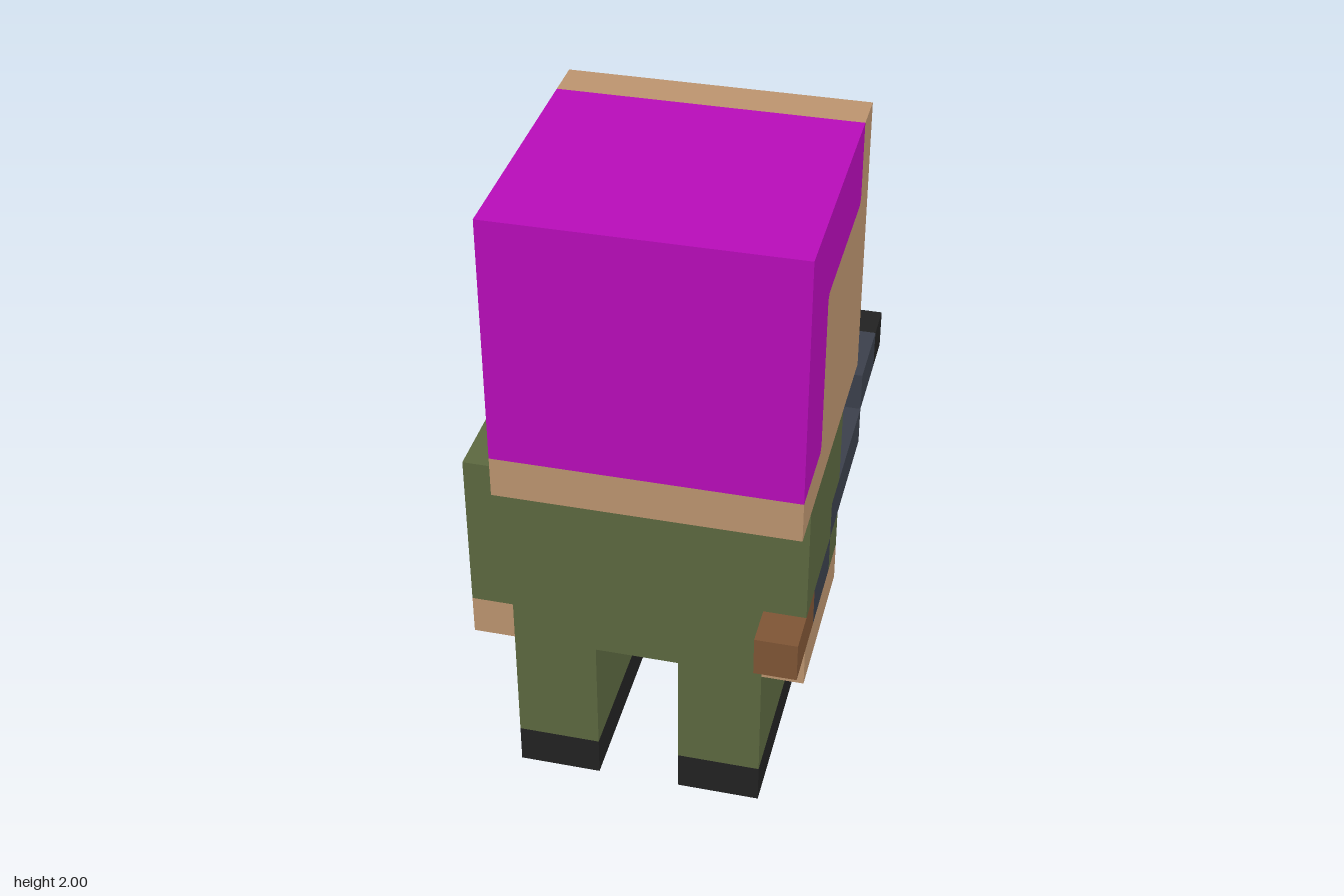
import * as THREE from 'three';

const U = 0.0625; // half a block; all sizes below are in these units

function material(name, color) {
  const m = new THREE.MeshStandardMaterial({ color });
  m.name = name;
  return m;
}

export function createModel() {
  const model = new THREE.Group();
  model.name = 'blockSoldier';

  const skin = material('skin', 0xbc946f);
  const hair = material('hair', 0xb80cb9);
  const cloth = material('greenCloth', 0x5c6840);
  const black = material('black', 0x222222);
  const steel = material('steel', 0x3b404b);
  const wood = material('wood', 0x7f5535);

  function group(name) {
    const g = new THREE.Group();
    g.name = name;
    model.add(g);
    return g;
  }

  function add(parent, name, geometry, mat) {
    const mesh = new THREE.Mesh(geometry, mat);
    mesh.name = name;
    parent.add(mesh);
  }

  // Box spanning [x0,x1] [y0,y1] [z0,z1]
  function block(parent, name, mat, [x0, x1], [y0, y1], [z0, z1]) {
    const g = new THREE.BoxGeometry((x1 - x0) * U, (y1 - y0) * U, (z1 - z0) * U);
    g.translate((x0 + x1) * U / 2, (y0 + y1) * U / 2, (z0 + z1) * U / 2);
    add(parent, name, g, mat);
  }

  // Side profile of (z, y) points extended across the width of the head
  function headPiece(parent, name, mat, points) {
    const shape = new THREE.Shape(points.map(([z, y]) => new THREE.Vector2(z * U, y * U)));
    const g = new THREE.ExtrudeGeometry(shape, { depth: 14 * U, bevelEnabled: false });
    g.rotateY(-Math.PI / 2).translate(8 * U, 0, 0);
    add(parent, name, g, mat);
  }

  // Head: hair wraps the top and back, with small clipped corners
  const c = 0.25;
  const hairline = [
    [11, 20], [7 + c, 20], [7, 20 + c], [7, 28 - c], [7 - c, 28],
    [-1 + c, 28], [-1, 28 + c], [-1, 32],
  ];
  const head = group('head');
  headPiece(head, 'hair', hair, [...hairline, [11, 32]]);
  headPiece(head, 'face', skin, [...hairline, [-3, 32], [-3, 18], [11, 18]]);

  // Eyes: thin plates with clipped corners
  for (const [name, x] of [['leftEye', 5], ['rightEye', -3]]) {
    const r = 1, k = 0.7;
    const pts = [[r, k], [k, r], [-k, r], [-r, k], [-r, -k], [-k, -r], [k, -r], [r, -k]];
    const shape = new THREE.Shape(pts.map(([a, b]) => new THREE.Vector2(a * U, b * U)));
    const g = new THREE.ExtrudeGeometry(shape, { depth: 0.006, bevelEnabled: false });
    g.translate(x * U, 25 * U, -3 * U - 0.003);
    add(head, name, g, black);
  }

  // Torso and legs
  const depth = [1, 9];
  block(model, 'torso', cloth, [-6, 6], [8, 18], depth);
  for (const [name, x] of [['leftLeg', [2, 6]], ['rightLeg', [-6, -2]]]) {
    const leg = group(name);
    block(leg, 'trouser', cloth, x, [2, 8], depth);
    block(leg, 'shoe', black, x, [0, 2], [-1, 9]);
  }

  // Free arm
  const freeArm = group('freeArm');
  block(freeArm, 'sleeve', cloth, [-8, -6], [10, 18], depth);
  block(freeArm, 'hand', skin, [-8, -6], [8, 10], depth);

  // Arm holding the rifle; the sleeve is cut where the rifle passes through
  const side = [6, 8];
  const rifleArm = group('rifleArm');
  block(rifleArm, 'sleeve', cloth, side, [14, 18], depth);
  block(rifleArm, 'sleeveBack', cloth, side, [12, 14], [3, 9]);
  block(rifleArm, 'sleeveFront', cloth, side, [10, 12], [1, 3]);
  block(rifleArm, 'hand', skin, side, [8, 10], depth);

  // Stepped rifle
  const rifle = group('rifle');
  block(rifle, 'stock', wood, side, [10, 12], [7, 11]);
  block(rifle, 'grip', steel, side, [10, 12], [3, 7]);
  block(rifle, 'receiver', steel, side, [12, 14], [-5, 3]);
  block(rifle, 'barrel', steel, side, [14, 16], [-9, -5]);
  block(rifle, 'muzzle', black, side, [14, 16], [-11, -9]);

  return model;
}
